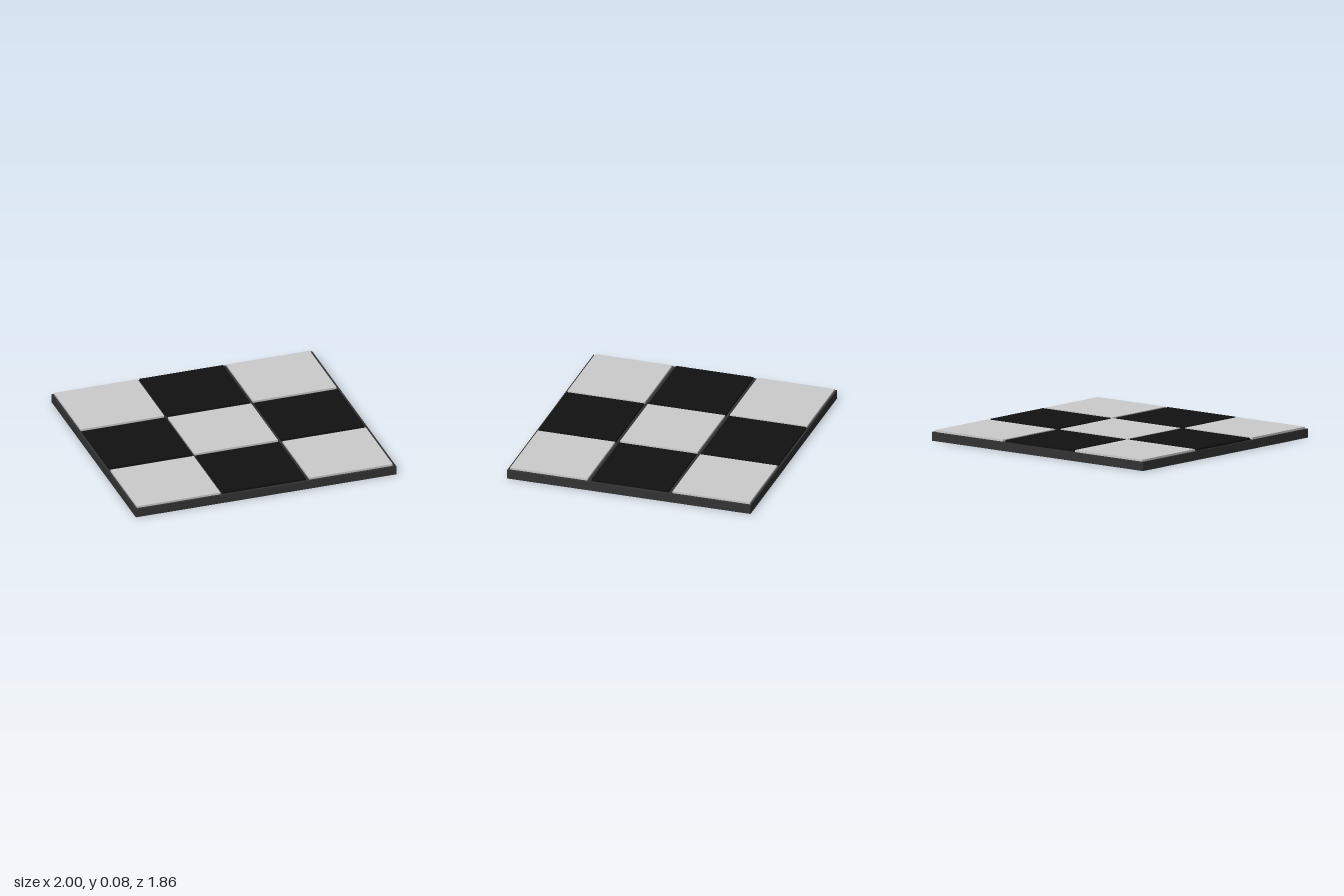
import * as THREE from 'three';

const BASE_H = 0.065, TOP = 0.08;

// Box resting between two heights
function slab(name, w, d, y0, y1, x, z, material) {
  const mesh = new THREE.Mesh(new THREE.BoxGeometry(w, y1 - y0, d), material);
  mesh.position.set(x, (y0 + y1) / 2, z);
  mesh.name = name;
  return mesh;
}

export function createModel() {
  const model = new THREE.Group();
  model.name = 'checkerboard';
  const frame = new THREE.MeshStandardMaterial({ color: 0x333333 });
  const light = new THREE.MeshStandardMaterial({ color: 0xcccccc });
  const dark = new THREE.MeshStandardMaterial({ color: 0x111111 });

  // Base plate
  model.add(slab('base', 2, 1.86, 0, BASE_H, 0, 0, frame));

  // Three by three alternating raised tiles
  const tiles = new THREE.Group();
  tiles.name = 'tiles';
  [-0.665, -0.008, 0.657].forEach((x, col) => {
    [-0.622, -0.002, 0.618].forEach((z, row) => {
      const isLight = (col + row) % 2 === 0;
      tiles.add(slab(isLight ? 'lightTile' : 'darkTile', 0.64, 0.59,
        BASE_H - 0.01, TOP, x, z, isLight ? light : dark));
    });
  });
  model.add(tiles);
  return model;
}
